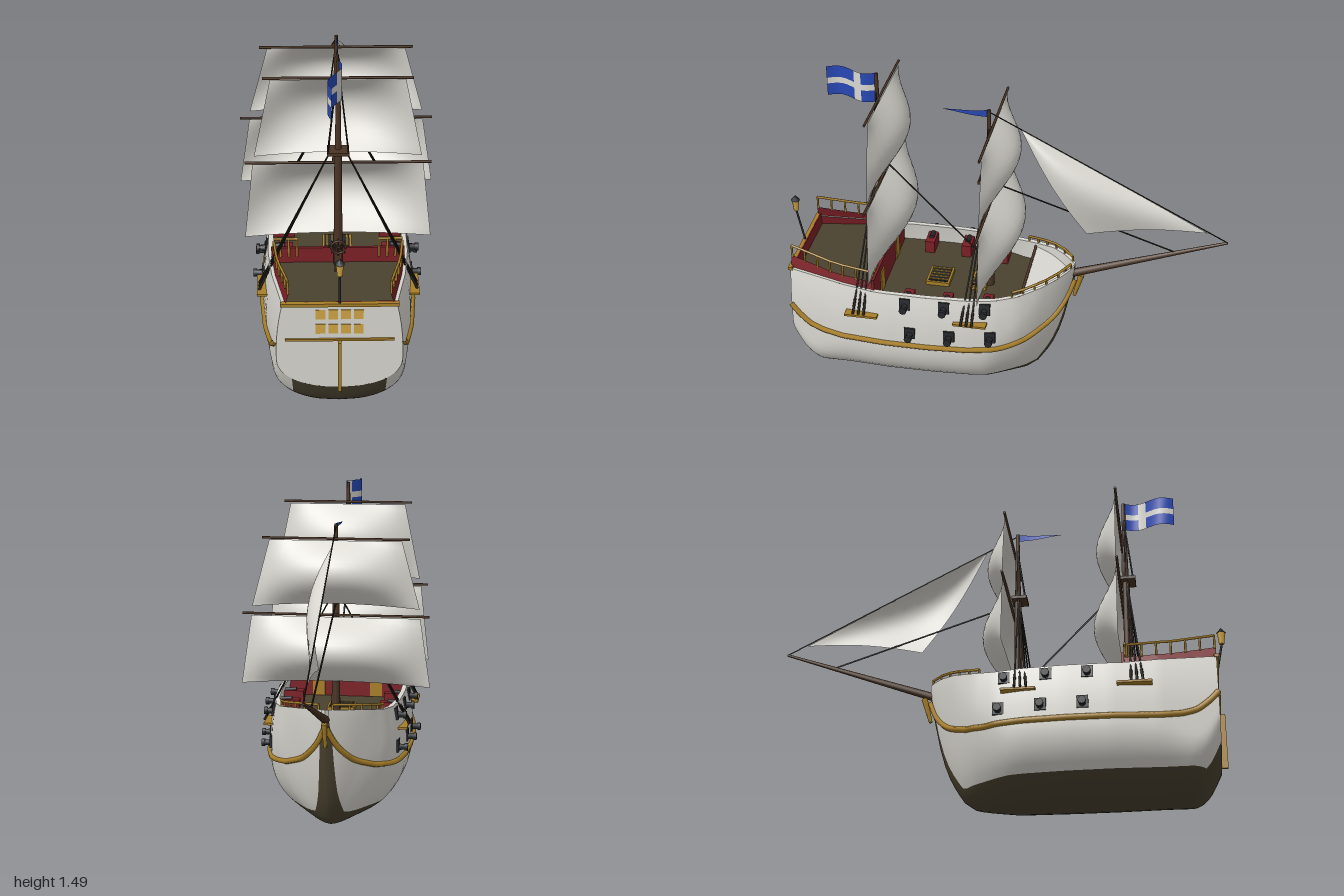
import * as THREE from 'three';

const mat = (name, color, double) => {
  const m = new THREE.MeshStandardMaterial({ color });
  m.name = name;
  if (double) m.side = THREE.DoubleSide;
  return m;
};
const V = (x, y, z) => new THREE.Vector3(x, y, z);

// linear lookup in a short list of [z, value] pairs (z ascending)
const curve = (pts) => (z) => {
  if (z <= pts[0][0]) return pts[0][1];
  for (let i = 1; i < pts.length; i++) {
    const [a, va] = pts[i - 1], [b, vb] = pts[i];
    if (z <= b) return va + (vb - va) * (z - a) / (b - a);
  }
  return pts[pts.length - 1][1];
};

// hull lines along the ship: bow at -z, stern at +z
const BOW = -0.325, STERN = 0.95;
const keel = curve([[BOW, 0.53], [-0.3, 0.4], [-0.275, 0.28], [-0.245, 0.18], [-0.205, 0.1], [-0.165, 0.04], [-0.115, 0.006], [-0.05, 0], [0.83, 0], [0.87, 0.02], [0.91, 0.07], [STERN, 0.155]]);
const beam = curve([[BOW, 0.015], [-0.3, 0.06], [-0.26, 0.115], [-0.2, 0.175], [-0.1, 0.245], [0, 0.29], [0.12, 0.315], [0.3, 0.327], [0.5, 0.326], [0.7, 0.308], [0.85, 0.28], [STERN, 0.262]]);
const bilge = curve([[BOW, 0.5], [-0.2, 0.49], [-0.1, 0.42], [0.05, 0.29], [0.7, 0.26], [STERN, 0.15]]);
const fullness = curve([[-0.25, 1.5], [-0.1, 1.8], [0.05, 2.2]]);
const sheer = curve([[BOW, 0.6], [-0.2, 0.575], [-0.1, 0.552], [0, 0.54], [0.55, 0.54], [STERN, 0.575]]);
const redTop = curve([[0.55, 0.575], [0.75, 0.592], [STERN, 0.63]]);
const waleY = curve([[BOW, 0.52], [-0.3, 0.45], [-0.27, 0.395], [-0.22, 0.345], [-0.14, 0.305], [-0.05, 0.287], [0.7, 0.285], [0.8, 0.295], [0.86, 0.315], [0.91, 0.355], [STERN, 0.4]]);
const waterline = (z) => Math.min(Math.max(0.08, keel(z) + 0.045), sheer(z));

function halfX(z, y) {
  const k = keel(z), range = Math.max(0.02, Math.min(bilge(z), sheer(z) - k)), p = fullness(z);
  const h = THREE.MathUtils.clamp((y - k) / range, 0, 1);
  const full = Math.pow(1 - Math.pow(1 - h, p), 1 / p);
  const tumble = z < 0 ? Math.max(0, 1 + z / 0.2) : 1;
  return beam(z) * full * (1 - 0.11 * tumble * Math.pow(Math.max(0, y - 0.33) / 0.25, 2));
}

export function createModel() {
  const ship = new THREE.Group();
  ship.name = 'sailingShip';
  const white = mat('hullWhite', 0xd9d7d0, true), canvas = mat('sailCanvas', 0xd9d7d0, true);
  const red = mat('bulwarkRed', 0x7c2026, true), gold = mat('goldTrim', 0xa87f28);
  const glass = mat('windowGlow', 0xd0a445), tar = mat('darkTimber', 0x4a4230, true);
  const wood = mat('mastWood', 0x4a3424), iron = mat('iron', 0x26282b);
  const rope = mat('rope', 0x25211b), blue = mat('flagBlue', 0x2848b4, true);

  const add = (name, geo, m, x = 0, y = 0, z = 0) => {
    const mesh = new THREE.Mesh(geo, m);
    mesh.name = name;
    mesh.position.set(x, y, z);
    ship.add(mesh);
    return mesh;
  };
  const box = (name, m, w, h, d, x, y, z) => add(name, new THREE.BoxGeometry(w, h, d), m, x, y, z);
  // straight round bar between two points
  const rod = (name, m, a, b, r0, r1 = r0, sides = 6) => {
    const mesh = add(name, new THREE.CylinderGeometry(r1, r0, a.distanceTo(b), sides), m);
    mesh.position.copy(a).lerp(b, 0.5);
    mesh.quaternion.setFromUnitVectors(V(0, 1, 0), b.clone().sub(a).normalize());
  };
  // grid surface from a function of (u, v) in 0..1
  const sheet = (name, m, nu, nv, fn) => {
    const g = new THREE.PlaneGeometry(1, 1, nu, nv), p = g.attributes.position;
    for (let i = 0; i < p.count; i++) p.setXYZ(i, ...fn(p.getX(i) + 0.5, p.getY(i) + 0.5));
    g.computeVertexNormals();
    add(name, g, m);
  };
  // strip of hull side between two heights, mirrored
  const skin = (name, m, z0, z1, lo, hi, off = 0, rows = 12) => {
    for (const s of [-1, 1]) sheet(name, m, 56, rows, (u, v) => {
      const z = z0 + (z1 - z0) * u, y = lo(z) + (hi(z) - lo(z)) * v;
      return [s * Math.max(0, halfX(z, y) + off), y, z];
    });
  };

  // hull shell and bulwarks
  skin('hullBottom', tar, BOW, STERN, keel, waterline);
  skin('hullSide', white, BOW, STERN, waterline, sheer, 0, 16);
  skin('innerBulwark', white, BOW, 0.55, (z) => sheer(z) - 0.1, sheer, -0.022, 2);
  skin('quarterBulwark', red, 0.55, STERN, () => 0.5, redTop, -0.014, 3);
  for (const s of [-1, 1]) {
    sheet('bulwarkCap', white, 50, 1, (u, v) => {
      const z = BOW + (STERN - BOW) * u;
      return [s * Math.max(0, halfX(z, sheer(z)) - 0.022 * v), sheer(z), z];
    });
    const pts = [];
    for (let i = 0; i <= 40; i++) {
      const z = BOW + (STERN - BOW) * i / 40;
      pts.push(V(s * (halfX(z, waleY(z)) + 0.003), waleY(z), z));
    }
    add('wale', new THREE.TubeGeometry(new THREE.CatmullRomCurve3(pts), 80, 0.013, 6), gold);
  }
  rod('stemOrnament', gold, V(0, 0.43, -0.325), V(0, 0.545, -0.355), 0.008, 0.014);

  // transom with windows, trim and rudder
  const edge = [];
  for (let i = 0; i <= 24; i++) {
    const y = 0.155 + 0.42 * Math.pow(i / 24, 1.6);
    edge.push(new THREE.Vector2(halfX(STERN, y), y));
  }
  const outline = edge.concat(edge.slice(1).reverse().map((p) => new THREE.Vector2(-p.x, p.y)));
  add('transom', new THREE.ShapeGeometry(new THREE.Shape(outline)), white, 0, 0, STERN);
  box('transomLining', red, 0.47, 0.085, 0.006, 0, 0.542, STERN - 0.008);
  for (const x of [-0.078, -0.026, 0.026, 0.078]) for (const y of [0.455, 0.527])
    box('sternWindow', glass, 0.04, 0.046, 0.006, x, y, STERN);
  box('sternBeam', gold, 0.485, 0.015, 0.02, 0, 0.577, STERN);
  box('sternMoulding', gold, 0.45, 0.01, 0.012, 0, 0.402, STERN + 0.002);
  box('rudder', gold, 0.014, 0.25, 0.03, 0, 0.275, STERN + 0.012);
  rod('lanternPole', iron, V(0, 0.58, STERN), V(0, 0.74, 0.982), 0.005);
  add('lantern', new THREE.CylinderGeometry(0.018, 0.012, 0.055, 6), glass, 0, 0.767, 0.982);
  add('lanternRoof', new THREE.ConeGeometry(0.022, 0.025, 6), iron, 0, 0.807, 0.982);

  // decks follow the hull outline
  const deck = (name, m, z0, z1, y) => {
    const right = [];
    for (let i = 0; i <= 24; i++) {
      const z = z0 + (z1 - z0) * i / 24;
      right.push(new THREE.Vector2(Math.max(0.002, halfX(z, y) - 0.015), -z));
    }
    const all = right.concat(right.slice().reverse().map((p) => new THREE.Vector2(-p.x, p.y)));
    add(name, new THREE.ShapeGeometry(new THREE.Shape(all)).rotateX(-Math.PI / 2), m, 0, y, 0);
  };
  deck('mainDeck', tar, -0.12, 0.56, 0.445);
  deck('quarterDeck', tar, 0.55, 0.945, 0.52);
  deck('foreDeck', white, -0.315, -0.11, 0.535);
  box('foreBulkhead', wood, 0.42, 0.1, 0.012, 0, 0.49, -0.11);
  box('quarterBulkhead', red, 0.57, 0.148, 0.012, 0, 0.519, 0.552);
  for (const x of [-0.14, 0.14]) box('cabinDoor', gold, 0.06, 0.105, 0.008, x, 0.5, 0.545);
  for (const [z, d] of [[0.305, 0.11], [0.115, 0.075]]) {
    box('hatchFrame', gold, 0.13, 0.02, d, 0, 0.453, z);
    box('hatchOpening', iron, 0.11, 0.006, d - 0.02, 0, 0.464, z);
    for (let i = -2; i <= 2; i++) box('hatchBar', gold, 0.005, 0.006, d - 0.02, i * 0.022, 0.467, z);
  }

  // guns, ports, channels and rails on both sides
  for (const s of [-1, 1]) {
    for (const [y, zs] of [[0.5, [0.4, 0.222, 0.04]], [0.355, [0.378, 0.198, 0.015]]]) for (const z of zs) {
      const x = halfX(z, y), upper = y > 0.4;
      box('gunPort', iron, 0.012, 0.055, 0.05, s * x, y, z).rotation.z = upper ? s * 0.15 : 0;
      rod('gunBarrel', iron, V(s * (x - 0.03), y - 0.008, z), V(s * (x + 0.04), y - 0.008, z), 0.018, 0.012, 8);
      rod('gunMuzzle', iron, V(s * (x + 0.03), y - 0.008, z), V(s * (x + 0.045), y - 0.008, z), 0.018, 0.018, 8);
      if (upper) {
        box('gunCarriage', red, 0.095, 0.06, 0.045, s * (x - 0.068), 0.475, z);
        rod('gunBreech', iron, V(s * (x - 0.08), 0.507, z), V(s * (x - 0.02), 0.5, z), 0.012, 0.012, 8);
      }
    }
    const rail = (name, z0, z1, n, base, height) => {
      let prev = null;
      for (let i = 0; i <= n; i++) {
        const z = z0 + (z1 - z0) * i / n, y = base(z), x = s * Math.max(0, halfX(z, y) - 0.012);
        const top = V(x, y + height, z);
        rod(name + 'Post', gold, V(x, y - 0.005, z), top, 0.005);
        if (prev) rod(name, gold, prev, top, 0.006);
        prev = top;
      }
    };
    rail('quarterRail', 0.57, 0.945, 6, redTop, 0.056);
    rail('bowRail', -0.075, -0.31, 5, sheer, 0.022);
    rod('breakRail', gold, V(s * 0.17, 0.64, 0.56), V(s * 0.275, 0.64, 0.56), 0.006);
    for (const x of [0.175, 0.21, 0.245]) rod('breakRailPost', gold, V(s * x, 0.55, 0.56), V(s * x, 0.64, 0.56), 0.005);
  }

  // masts with yards, bellied sails, tops and shrouds
  const sail = (name, yT, wT, yB, wB, z0, belly) => sheet(name, canvas, 16, 14, (a, v) => {
    const u = a * 2 - 1, c = 1 - u * u;
    return [u * (wB + (wT - wB) * v), yB + (yT - yB) * v + 0.02 * c * (1 - v), z0 - belly * c * Math.sin(Math.PI * v)];
  });
  const mast = (p) => {
    rod(p.name + 'Mast', wood, V(0, 0.44, p.z), V(0, p.split, p.z), 0.021, 0.016, 10);
    rod(p.name + 'Topmast', wood, V(0, p.split, p.z), V(0, p.top, p.z), 0.014, 0.008, 10);
    box(p.name + 'Top', wood, 0.09, 0.014, 0.07, 0, p.split, p.z + 0.01);
    for (const [y, w] of p.yards) rod(p.name + 'Yard', wood, V(-w, y, p.z - 0.022), V(w, y, p.z - 0.022), 0.006);
    for (const s of p.sails) sail(p.name + 'Sail', ...s);
    for (const s of [-1, 1]) {
      box(p.name + 'Channel', gold, 0.05, 0.01, 0.15, s * (halfX(p.z, 0.43) + 0.008), 0.43, p.z + 0.033);
      for (const dz of [0.02, 0.045, 0.07]) {
        const foot = V(s * 0.338, 0.435, p.z + dz), head = V(s * 0.03, p.split, p.z + 0.005);
        rod(p.name + 'Shroud', rope, foot, head, 0.004, 0.003, 4);
        rod(p.name + 'Deadeye', rope, foot, foot.clone().lerp(head, 0.1), 0.006);
      }
      for (const dz of [0, 0.035]) rod(p.name + 'TopShroud', rope, V(s * 0.042, p.split, p.z + dz), V(s * 0.008, p.top - 0.09, p.z), 0.003, 0.003, 4);
    }
  };
  mast({
    name: 'main', z: 0.567, split: 1.08, top: 1.49, yards: [[1.4, 0.305], [1.007, 0.387]],
    sails: [[1.39, 0.275, 1.035, 0.348, 0.54, 0.105], [1, 0.355, 0.64, 0.395, 0.54, 0.125]],
  });
  mast({
    name: 'fore', z: 0.07, split: 1.012, top: 1.36, yards: [[1.295, 0.333], [0.947, 0.425]],
    sails: [[1.287, 0.3, 0.98, 0.382, 0.045, 0.112], [0.938, 0.385, 0.62, 0.433, 0.045, 0.132]],
  });

  // bowsprit, jib and stays
  rod('bowsprit', wood, V(0, 0.54, -0.28), V(0, 0.8, -1), 0.02, 0.006, 8);
  const peak = V(0, 1.28, -0.07), tack = V(0, 0.84, -0.91), clew = V(0.02, 0.785, -0.375);
  sheet('jib', canvas, 14, 14, (u, v) => {
    const p = clew.clone().lerp(tack, u).lerp(peak, v);
    const bulge = Math.sin(Math.PI * (0.25 + 0.75 * u)) * Math.sin(Math.PI * v);
    return [p.x + 0.07 * bulge, p.y + 0.02 * Math.sin(Math.PI * u) * (1 - v), p.z];
  });
  rod('foreStay', rope, V(0, 1.35, 0.07), V(0, 0.8, -1), 0.003, 0.003, 4);
  rod('lowerStay', rope, V(0, 1, 0.07), V(0, 0.72, -0.78), 0.004, 0.004, 4);
  rod('mainStay', rope, V(0, 1.07, 0.56), V(0, 0.58, 0.09), 0.004, 0.004, 4);

  // flag with a cross, split in painted cells along a wave
  const us = [0, 0.3, 0.45, 1], vs = [0, 0.4, 0.6, 1];
  for (let i = 0; i < 3; i++) for (let j = 0; j < 3; j++) {
    const cross = i === 1 || j === 1;
    sheet(cross ? 'flagCross' : 'flagField', cross ? canvas : blue, 6, 1, (a, b) => {
      const u = us[i] + (us[i + 1] - us[i]) * a, v = vs[j] + (vs[j + 1] - vs[j]) * b;
      return [-0.03 * u + 0.022 * Math.sin(u * Math.PI * 2), 1.345 + 0.14 * v + 0.008 * (1 - u), 0.565 + 0.235 * u];
    });
  }
  sheet('pennant', blue, 8, 1, (u, v) => [0.006 * Math.sin(u * 5), 1.342 + (v - 0.5) * 0.035 * (1 - u), 0.07 + 0.21 * u]);

  // steering wheel
  add('wheelRim', new THREE.TorusGeometry(0.03, 0.005, 6, 20), wood, 0, 0.65, 0.64);
  for (let i = 0; i < 4; i++) {
    const c = Math.cos(i * Math.PI / 4) * 0.042, s = Math.sin(i * Math.PI / 4) * 0.042;
    rod('wheelSpoke', wood, V(-c, 0.65 - s, 0.64), V(c, 0.65 + s, 0.64), 0.003);
  }
  box('wheelStand', wood, 0.03, 0.13, 0.03, 0, 0.585, 0.615);
  return ship;
}
